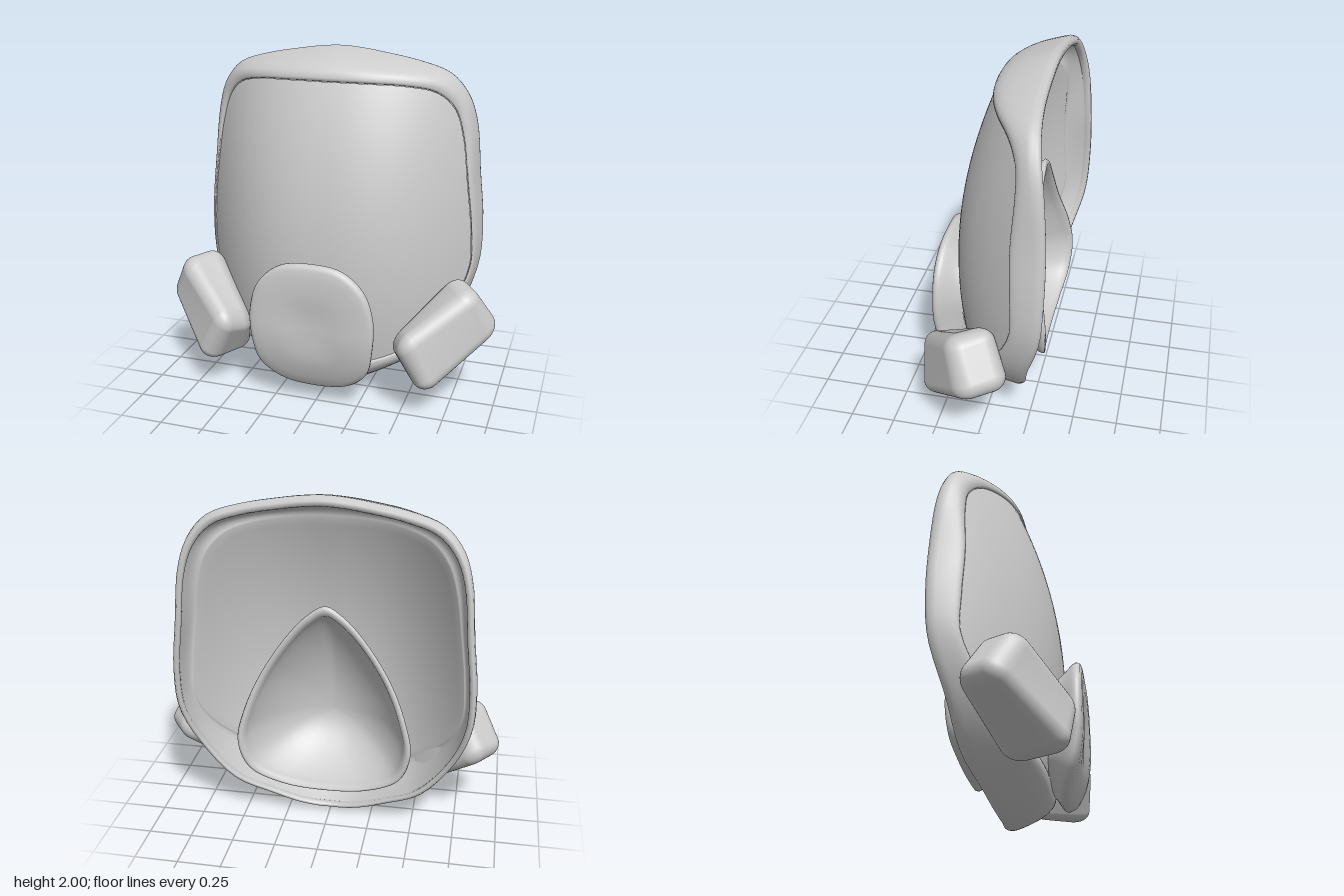
import * as THREE from 'three';
import { RoundedBoxGeometry } from 'three/addons/geometries/RoundedBoxGeometry.js';
import { mergeVertices } from 'three/addons/utils/BufferGeometryUtils.js';

const N = 112; // points around each loop
const V = (x, y, z = 0) => new THREE.Vector3(x, y, z);
const grey = new THREE.MeshStandardMaterial({ color: 0xcccccc, side: THREE.DoubleSide });

function addMesh(parent, name, geometry) {
  const mesh = new THREE.Mesh(geometry, grey);
  mesh.name = name;
  parent.add(mesh);
}

// Closed smooth loop from a half outline running top -> left side -> bottom
function mirrorLoop(half) {
  const other = half.slice(1, -1).reverse().map(p => V(-p.x, p.y, p.z));
  const curve = new THREE.CatmullRomCurve3([...half, ...other], true);
  return Array.from({ length: N }, (_, i) => curve.getPoint(i / N));
}

// Skin over a list of loops, ordered from the front centre outward
function loft(rings) {
  const pos = [], index = [];
  rings.forEach(ring => ring.forEach(p => pos.push(p.x, p.y, p.z)));
  for (let i = 0; i < rings.length - 1; i++) {
    for (let j = 0; j < N; j++) {
      const a = i * N + j, b = i * N + (j + 1) % N;
      index.push(a, b, a + N, b, b + N, a + N);
    }
  }
  const g = new THREE.BufferGeometry();
  g.setAttribute('position', new THREE.Float32BufferAttribute(pos, 3));
  g.setIndex(index);
  g.computeVertexNormals();
  return g;
}

const steps = (n, f) => Array.from({ length: n + 1 }, (_, i) => f(i / n));

// Face piece: clear visor, raised frame with rolled edge, inner lining
function buildFace(group) {
  // x, y, z of the back edge, and the visor seam as a fraction of the radius
  const outline = [
    [0, 1.995, -.28, .868], [.12, 1.987, -.28, .874], [.25, 1.968, -.28, .886],
    [.45, 1.93, -.285, .905], [.62, 1.87, -.30, .918], [.72, 1.76, -.32, .925],
    [.775, 1.6, -.345, .925], [.805, 1.3, -.365, .94], [.835, 1.0, -.365, .945],
    [.825, .75, -.345, .955], [.73, .48, -.27, .92], [.55, .24, -.22, .85],
    [.35, .115, -.15, .8], [.19, .04, -.11, .77], [.09, .012, -.09, .76], [0, .004, -.08, .758]];
  const rim = mirrorLoop(outline.map(([x, y, z]) => V(x, y, z + .06)));
  const seam = mirrorLoop(outline.map(([x, y, , k]) => V(x, y, k))).map(p => p.z);
  const lens = (x, y) => .25 - .2 * (y - .8) ** 2 - .786 * Math.abs(x) ** 2.5;

  // the lens curve up to the seam, then a turn back to the rim
  function facePoint(j, r, grow = 1, dz = 0) {
    const k = Math.min(r, seam[j]), q = rim[j];
    const front = lens(q.x * k, .8 + (q.y - .8) * k);
    const u = Math.max(0, (r - seam[j]) / (1 - seam[j]));
    return V(q.x * r * grow, .8 + (q.y - .8) * r * grow, front + (q.z - front) * u ** 2.6 + dz);
  }
  const ring = (rAt, grow, dz) => rim.map((_, j) => facePoint(j, rAt(j), grow, dz));
  const beyond = t => j => seam[j] + (1 - seam[j]) * Math.sin(t * Math.PI / 2);

  addMesh(group, 'visor', loft(steps(24, t => ring(j => seam[j] * t))));

  const frame = [ring(j => seam[j], 1, -.01)];
  frame.push(...steps(14, t => ring(beyond(t), 1 + .004 * (1 - t), .005 * (1 - t))));
  // rolled back edge, then inward
  for (const [s, dz] of [[1.004, -.02], [1, -.045], [.986, -.062], [.967, -.06], [.957, -.042], [.965, -.02]])
    frame.push(ring(() => 1, s, dz));
  addMesh(group, 'frame', loft(frame));

  const lining = steps(12, t => ring(beyond(1 - t), .965, -.02));
  lining.push(...steps(24, t => ring(j => seam[j] * (1 - t), .965, -.02)).slice(1));
  addMesh(group, 'innerLining', loft(lining));
}

// Cup over nose and mouth, inside the face piece
function buildNoseCup(group) {
  const rim = mirrorLoop([
    V(0, 1.37, -.2), V(.09, 1.32, -.2), V(.21, 1.19, -.2), V(.36, .96, -.22),
    V(.455, .74, -.27), V(.49, .56, -.295), V(.43, .39, -.285), V(.25, .29, -.26), V(0, .26, -.25)]);
  const point = (p, r, apexZ, grow, dz) => V(p.x * r * grow, .62 + (p.y - .62) * r * grow,
    p.z + (apexZ - p.z) * Math.pow(Math.max(0, 1 - r * r), .85) + dz);
  const rings = steps(18, t => rim.map(p => point(p, Math.sin(t * Math.PI / 2), .09, 1, 0)));
  for (const [s, dz] of [[1.015, -.012], [1.005, -.027], [.975, -.03], [.94, -.015]])
    rings.push(rim.map(p => point(p, 1, 0, s, dz)));
  rings.push(...steps(18, t => rim.map(p => point(p, Math.cos(t * Math.PI / 2), .06, .92, .01))));
  addMesh(group, 'noseCup', loft(rings));
}

// Bent, dished cover on the front with a narrower neck behind it
function buildValve(group) {
  const outline = mirrorLoop([
    V(0, .885), V(.18, .86), V(.305, .755), V(.36, .59), V(.355, .4),
    V(.315, .24), V(.19, .13), V(0, .1)]);
  const bend = y => .372 - .6 * Math.max(0, .5 - y) ** 2 - .2 * Math.max(0, y - .7) ** 2;
  const profile = [[0, -.018], [.15, -.017], [.3, -.012], [.45, -.005], [.6, -.001], [.8, -.001],
    [.92, -.005], [.98, -.012], [1, -.027], [1, -.042], [.97, -.06], [.91, -.085],
    [.84, -.115], [.78, -.145], [.76, -.17]];
  addMesh(group, 'valveCover', loft(profile.map(([s, dz]) => outline.map(p => {
    const y = .5 + (p.y - .5) * s;
    return V(p.x * s, y, bend(y) + dz);
  }))));
}

// Filter pod on each cheek: a rounded block fitted into eight corners
function buildFilter(group, side) {
  const inner = [V(.4, .41, .18), V(.48, .15, -.02), V(.72, .79, -.1), V(.88, .5, -.23)];
  const outer = [V(.49, .49, .39), V(.67, .15, .37), V(.89, .765, .13), V(1.045, .48, 0)];
  const size = V(.52, .31, .4);
  const box = new RoundedBoxGeometry(size.x, size.y, size.z, 6, .095);
  box.deleteAttribute('normal');
  box.deleteAttribute('uv');
  const pod = mergeVertices(box);
  const p = pod.attributes.position;
  for (let i = 0; i < p.count; i++) {
    const u = p.getX(i) / size.x + .5, v = p.getY(i) / size.y + .5;
    const w = side * p.getZ(i) / size.z + .5;
    const [a, b] = [inner, outer].map(c =>
      c[0].clone().lerp(c[1], w).lerp(c[2].clone().lerp(c[3], w), u));
    a.lerp(b, v);
    p.setXYZ(i, a.x * side, a.y, a.z);
  }
  pod.computeVertexNormals();
  addMesh(group, side > 0 ? 'leftFilter' : 'rightFilter', pod);
}

export function createModel() {
  const group = new THREE.Group();
  group.name = 'respiratorMask';
  buildFace(group);
  buildNoseCup(group);
  buildValve(group);
  for (const side of [1, -1]) buildFilter(group, side);
  return group;
}
